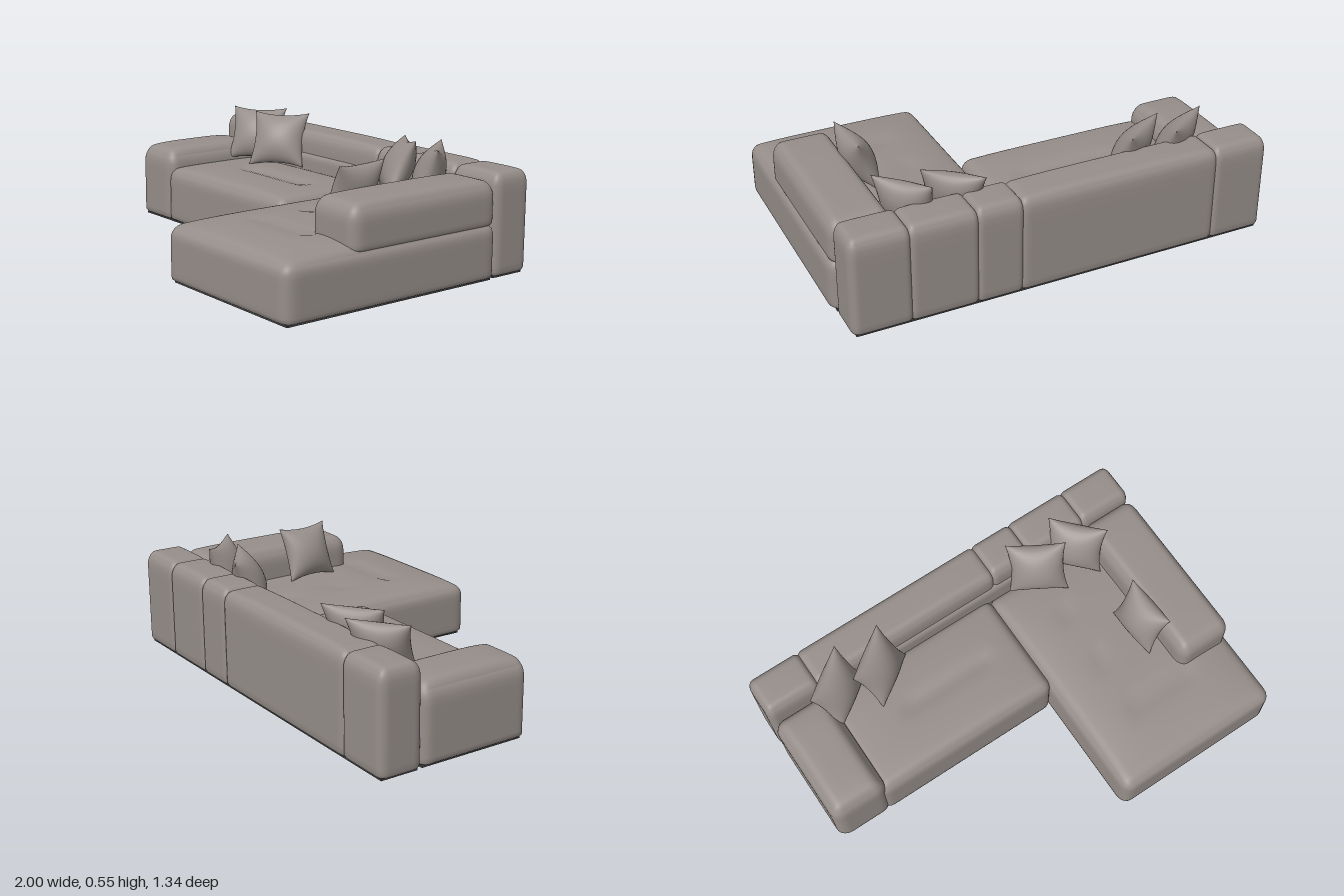
import * as THREE from 'three';
import { mergeVertices } from 'three/addons/utils/BufferGeometryUtils.js';

const fabric = new THREE.MeshStandardMaterial({ color: 0x968e8a });
fabric.name = 'warm grey fabric';
const lining = new THREE.MeshStandardMaterial({ color: 0x484747 });
lining.name = 'dark underside lining';

// Weld a geometry and give it smooth normals
function smooth(geo) {
  geo.deleteAttribute('uv');
  geo.deleteAttribute('normal');
  const welded = mergeVertices(geo, 1e-5);
  welded.computeVertexNormals();
  return welded;
}

// Upholstered block between two corners: rounded edges, crowned top, stitched grooves
function softBlock(name, [x0, x1], [y0, y1], [z0, z1], opts = {}) {
  const { r = [0.05, 0.07, 0.05], foot = 0.02, crown = 0.02, grooves = [] } = opts;
  const half = [(x1 - x0) / 2, (y1 - y0) / 2, (z1 - z0) / 2];
  const mid = [(x1 + x0) / 2, (y1 + y0) / 2, (z1 + z0) / 2];
  const geo = new THREE.BoxGeometry(2, 2, 2, 34, 14, 34);
  const pos = geo.attributes.position;
  for (let i = 0; i < pos.count; i++) {
    // crowd the vertices toward the edges, where the rounding is
    const s = [pos.getX(i), pos.getY(i), pos.getZ(i)].map(c => Math.sin(c * Math.PI / 2));
    const rad = [r[0], s[1] < 0 ? foot : r[1], r[2]];
    const core = s.map((c, k) => THREE.MathUtils.clamp(c * half[k], rad[k] - half[k], half[k] - rad[k]));
    const d = s.map((c, k) => (c * half[k] - core[k]) / rad[k]);
    const len = Math.hypot(...d) || 1;
    const p = core.map((c, k) => c + d[k] / len * rad[k]);
    if (p[1] > 0) {
      const t = p[1] / half[1], u = s[0] ** 4, v = s[2] ** 4;
      p[1] -= crown * t * (u + v - u * v);
      for (const [ax, az, bx, bz] of grooves) {
        const wx = p[0] + mid[0], wz = p[2] + mid[2];
        const dx = wx - THREE.MathUtils.clamp(wx, ax, bx);
        const dz = wz - THREE.MathUtils.clamp(wz, az, bz);
        p[1] -= 0.014 * t * Math.exp(-(dx * dx + dz * dz) / 0.0016);
      }
    }
    pos.setXYZ(i, ...p);
  }
  const mesh = new THREE.Mesh(smooth(geo), fabric);
  mesh.position.set(...mid);
  mesh.name = name;
  return mesh;
}

// Square cushion with pulled-in sides and pointed corners
function throwPillow(name, [x, y, z], yaw, recline, roll = 0, size = 0.28, thick = 0.14) {
  const geo = new THREE.BoxGeometry(2, 2, 2, 18, 18, 1);
  const pos = geo.attributes.position;
  for (let i = 0; i < pos.count; i++) {
    const u = Math.sin(pos.getX(i) * Math.PI / 2), v = Math.sin(pos.getY(i) * Math.PI / 2);
    const puff = Math.pow(Math.max(0, (1 - u * u) * (1 - v * v)), 0.55);
    pos.setXYZ(i,
      u * size / 2 * (1 - 0.13 * (1 - v * v)),
      v * size / 2 * (1 - 0.13 * (1 - u * u)),
      Math.sign(pos.getZ(i)) * thick / 2 * puff);
  }
  const mesh = new THREE.Mesh(smooth(geo), fabric);
  mesh.position.set(x, y, z);
  mesh.rotation.set(-recline, yaw, roll, 'YXZ');
  mesh.name = name;
  return mesh;
}

function underside(name, [x0, x1], [z0, z1]) {
  const mesh = new THREE.Mesh(new THREE.BoxGeometry(x1 - x0, 0.008, z1 - z0), lining);
  mesh.position.set((x0 + x1) / 2, 0.004, (z0 + z1) / 2);
  mesh.name = name;
  return mesh;
}

export function createModel() {
  const sofa = new THREE.Group();
  sofa.name = 'cornerSofa';

  // Seats
  sofa.add(
    softBlock('mainSeat', [-0.76, 0.18], [0.005, 0.292], [-0.475, 0.07],
      { r: [0.05, 0.07, 0.05], crown: 0.02, grooves: [[-0.42, -0.21, -0.03, -0.21]] }),
    softBlock('chaiseSeat', [0.165, 0.995], [0.005, 0.288], [-0.47, 0.67],
      { r: [0.05, 0.07, 0.06], crown: 0.035,
        grooves: [[0.43, 0.36, 0.72, 0.36], [0.43, -0.2, 0.43, -0.2], [0.43, 0.08, 0.43, 0.08]] }));

  // Arms
  sofa.add(
    softBlock('rightArm', [-1, -0.72], [0.005, 0.37], [-0.472, 0.07],
      { r: [0.06, 0.08, 0.05], crown: 0.02 }),
    softBlock('leftArm', [0.71, 0.985], [0.235, 0.443], [-0.472, 0.33],
      { r: [0.05, 0.08, 0.06], crown: 0.01 }));

  // Backrest, divided by vertical seams
  const seams = [-1, -0.735, 0.21, 0.415, 0.715, 0.98];
  for (let i = 0; i < seams.length - 1; i++) {
    const a = seams[i] - (i > 0 ? 0.012 : 0);
    const b = seams[i + 1] + (i < seams.length - 2 ? 0.012 : 0);
    sofa.add(softBlock('backrestSection' + (i + 1), [a, b], [0.005, 0.465], [-0.672, -0.466],
      { r: [0.035, 0.06, 0.045], crown: 0.008 }));
  }
  // Horizontal roll along the foot of the backrest
  sofa.add(softBlock('lumbarRoll', [-0.75, 0.74], [0.22, 0.36], [-0.53, -0.452],
    { r: [0.03, 0.035, 0.03], crown: 0 }));

  // Throw pillows
  sofa.add(
    throwPillow('rightOuterPillow', [-0.665, 0.41, -0.425], 0.63, 0.45),
    throwPillow('rightInnerPillow', [-0.455, 0.412, -0.405], 0.63, 0.45),
    throwPillow('leftInnerPillow', [0.415, 0.412, -0.415], -0.6, 0.42, 0.08),
    throwPillow('leftOuterPillow', [0.625, 0.412, -0.41], -0.82, 0.32),
    throwPillow('armPillow', [0.668, 0.41, 0.06], -1.5, 0.36, 0, 0.265));

  // Underside lining
  sofa.add(
    underside('mainUnderside', [-0.975, 0.2], [-0.455, 0.05]),
    underside('chaiseUnderside', [0.19, 0.97], [-0.455, 0.645]),
    underside('backUnderside', [-0.98, 0.96], [-0.655, -0.48]));

  return sofa;
}
